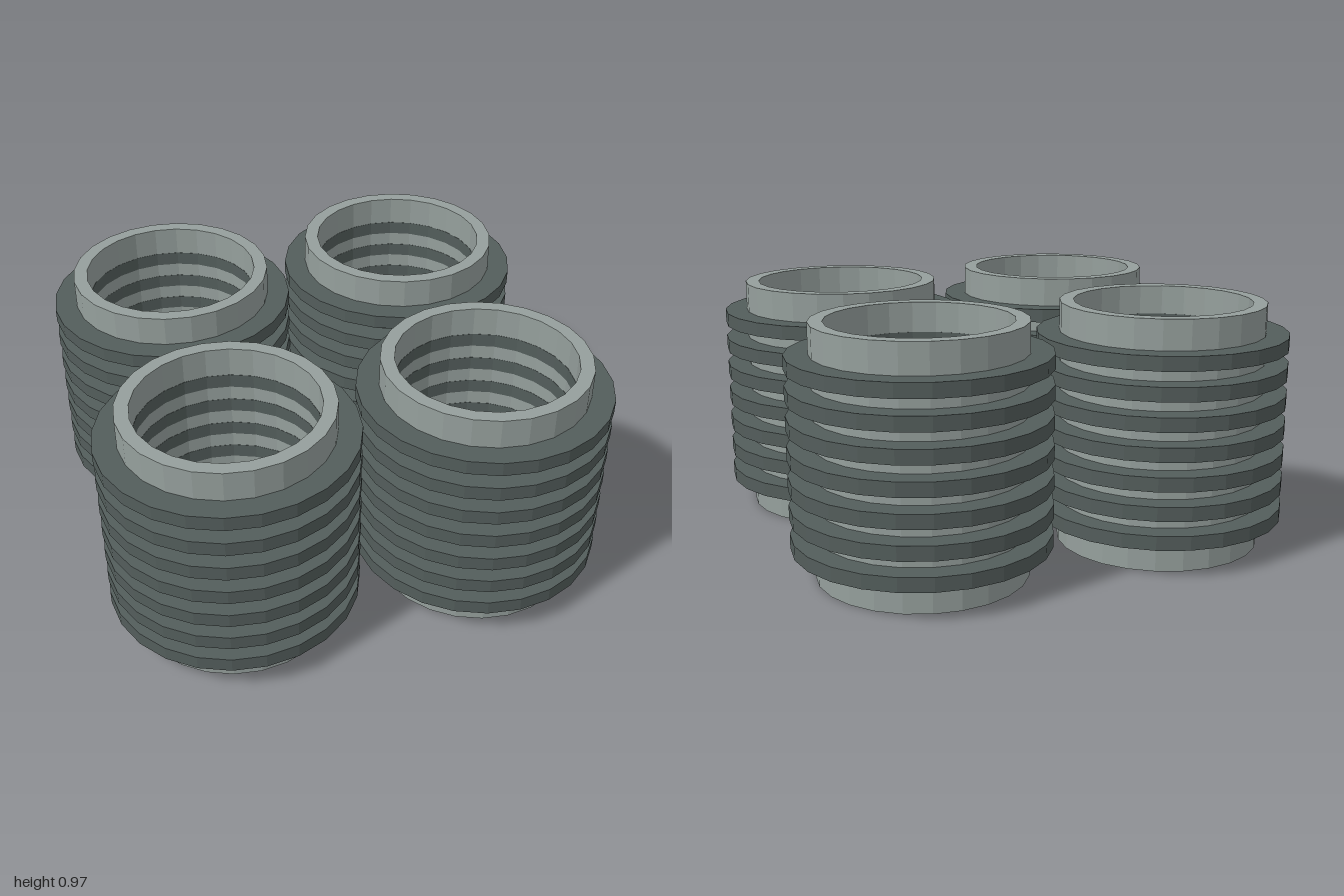
import * as THREE from 'three';

const SIDES = 24;
const HEIGHT = 0.973;
const CENTRE = 0.505;
const FIN_COUNT = 7;
const FIN_STEP = 0.1135;
const FIN_HEIGHT = 0.056;

// Hollow ring with a rectangular section, standing on y = 0
function ringGeometry(inner, outer, height) {
  const profile = [
    [outer, 0], [outer, height], [inner, height], [inner, 0], [outer, 0],
  ].map(([r, y]) => new THREE.Vector2(r, y));
  return new THREE.LatheGeometry(profile, SIDES);
}

export function createModel() {
  const tubeMaterial = new THREE.MeshStandardMaterial({ color: 0x959f9c, flatShading: true });
  tubeMaterial.name = 'light grey metal';
  const finMaterial = new THREE.MeshStandardMaterial({ color: 0x535d5b, flatShading: true });
  finMaterial.name = 'dark grey metal';

  const tubeGeometry = ringGeometry(0.35, 0.405, HEIGHT);
  // Fins pass through the wall and show as bands inside the bore
  const finGeometry = ringGeometry(0.349, 0.495, FIN_HEIGHT);

  const model = new THREE.Group();
  model.name = 'finnedTubes';

  // Four identical finned tubes in a square
  for (const x of [-1, 1]) {
    for (const z of [-1, 1]) {
      const unit = new THREE.Group();
      unit.name = `${z > 0 ? 'front' : 'back'}${x > 0 ? 'Left' : 'Right'}FinnedTube`;
      unit.position.set(x * CENTRE, 0, z * CENTRE);

      const tube = new THREE.Mesh(tubeGeometry, tubeMaterial);
      tube.name = 'tube';
      unit.add(tube);

      // Evenly spaced fins about mid height
      for (let i = 0; i < FIN_COUNT; i++) {
        const fin = new THREE.Mesh(finGeometry, finMaterial);
        fin.name = `fin${i + 1}`;
        fin.position.y = HEIGHT / 2 + (i - (FIN_COUNT - 1) / 2) * FIN_STEP - FIN_HEIGHT / 2;
        unit.add(fin);
      }
      model.add(unit);
    }
  }
  return model;
}
